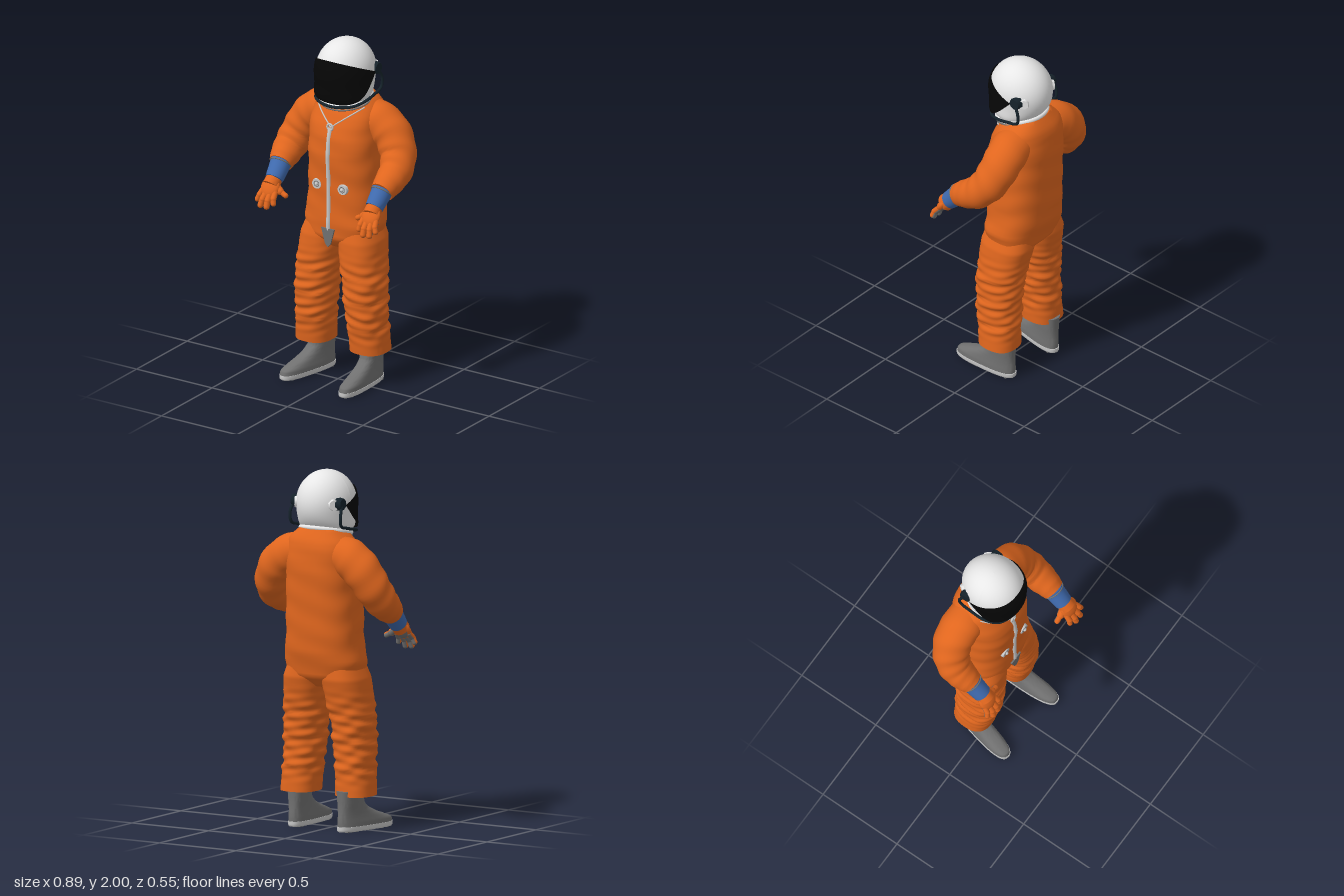
import * as THREE from 'three';
import { toCreasedNormals } from 'three/addons/utils/BufferGeometryUtils.js';

const mat = (name, color, side = THREE.FrontSide) => {
  const m = new THREE.MeshStandardMaterial({ color, side });
  m.name = name;
  return m;
};
const V = (x, y, z) => new THREE.Vector3(x, y, z);
const spow = (v, p) => Math.sign(v) * Math.abs(v) ** p;

// Closed skin from rings f(angle, t), capped at both ends and wound outwards
function skin(nu, nv, f, crease = 0.9) {
  const pos = [], idx = [];
  for (let j = 0; j <= nv; j++)
    for (let i = 0; i < nu; i++) pos.push(...f((i / nu) * Math.PI * 2, j / nv));
  for (let j = 0; j < nv; j++)
    for (let i = 0; i < nu; i++) {
      const a = j * nu + i, b = j * nu + (i + 1) % nu;
      idx.push(a, b, a + nu, b, b + nu, a + nu);
    }
  for (const j of [0, nv]) {
    const c = [0, 0, 0], ci = pos.length / 3;
    for (let i = 0; i < nu; i++) for (let k = 0; k < 3; k++) c[k] += pos[(j * nu + i) * 3 + k] / nu;
    pos.push(...c);
    for (let i = 0; i < nu; i++) {
      const a = j * nu + i, b = j * nu + (i + 1) % nu;
      idx.push(...(j ? [a, b, ci] : [b, a, ci]));
    }
  }
  let vol = 0;
  const p = (i) => V(pos[i * 3], pos[i * 3 + 1], pos[i * 3 + 2]);
  for (let i = 0; i < idx.length; i += 3) vol += p(idx[i]).dot(p(idx[i + 1]).cross(p(idx[i + 2])));
  if (vol < 0) idx.reverse();
  const g = new THREE.BufferGeometry();
  g.setAttribute('position', new THREE.Float32BufferAttribute(pos, 3));
  g.setIndex(idx);
  return toCreasedNormals(g, crease);
}

// Rows are [y, centre x, half width, front z, back z]
function rowAt(rows, y) {
  let i = 0;
  while (i < rows.length - 2 && y > rows[i + 1][0]) i++;
  const t = THREE.MathUtils.clamp((y - rows[i][0]) / (rows[i + 1][0] - rows[i][0]), 0, 1);
  return rows[i].map((v, k) => v + (rows[i + 1][k] - v) * t);
}
function stack(rows, n, rings, fold = () => 0) {
  const y0 = rows[0][0], y1 = rows[rows.length - 1][0];
  return skin(40, rings, (a, t) => {
    const y = y0 + (y1 - y0) * t, [, cx, hw, zf, zb] = rowAt(rows, y), w = fold(y, a);
    return [cx + (hw + w) * spow(Math.cos(a), 2 / n), y,
      (zf + zb) / 2 + ((zf - zb) / 2 + w) * spow(Math.sin(a), 2 / n)];
  });
}
// Round limb along a curve, with a radius for each point
function limb(points, radii, rings, fold = () => 0) {
  const curve = new THREE.CatmullRomCurve3(points);
  return skin(28, rings, (a, t) => {
    const c = curve.getPoint(t), d = curve.getTangent(t), f = t * (radii.length - 1);
    const i = Math.min(Math.floor(f), radii.length - 2);
    const r = THREE.MathUtils.lerp(radii[i], radii[i + 1], f - i) + fold(t, a);
    const b = d.clone().cross(V(0, 0, 1)).normalize(), n = b.clone().cross(d).normalize();
    return c.addScaledVector(b, r * Math.cos(a)).addScaledVector(n, r * Math.sin(a)).toArray();
  });
}
const tube = (pts, r, closed = false, seg = 60) =>
  new THREE.TubeGeometry(new THREE.CatmullRomCurve3(pts, closed), seg, r, 8, closed);

const TORSO = [
  [0.8, 0.003, 0.06, 0.04, -0.15], [0.86, 0.003, 0.215, 0.086, -0.218], [0.94, 0.003, 0.236, 0.09, -0.236],
  [1.0, 0.003, 0.222, 0.086, -0.25], [1.1, 0.003, 0.213, 0.085, -0.258], [1.2, 0.003, 0.212, 0.086, -0.261],
  [1.35, 0.003, 0.207, 0.095, -0.268], [1.45, 0.003, 0.208, 0.085, -0.272], [1.52, 0.003, 0.206, 0.066, -0.27],
  [1.58, 0.003, 0.2, 0.037, -0.263], [1.62, 0.003, 0.188, 0.015, -0.252], [1.65, 0.005, 0.16, 0.005, -0.237],
  [1.685, 0.005, 0.12, -0.005, -0.215]];
const LEG = [
  [0.2, 0.179, 0.106, 0.058, -0.168], [0.3, 0.174, 0.103, 0.07, -0.164], [0.45, 0.163, 0.107, 0.09, -0.162],
  [0.6, 0.156, 0.114, 0.094, -0.17], [0.75, 0.135, 0.12, 0.09, -0.195], [0.85, 0.122, 0.121, 0.085, -0.218],
  [0.95, 0.103, 0.1, 0.06, -0.205]];
const BOOT = [
  [0.028, 0, 0.054, 0.238, -0.155], [0.055, 0, 0.053, 0.234, -0.156], [0.078, 0, 0.05, 0.178, -0.155],
  [0.1, 0, 0.048, 0.115, -0.153], [0.125, 0, 0.047, 0.06, -0.152], [0.155, 0, 0.048, 0.022, -0.152],
  [0.23, 0, 0.051, 0, -0.156]];
const SOLE = [[0.004, 0, 0.05, 0.234, -0.155], [0.012, 0, 0.055, 0.241, -0.16], [0.032, 0, 0.056, 0.241, -0.16]];

function torsoFront(x, y) {
  const [, cx, hw, zf, zb] = rowAt(TORSO, y), k = Math.min(1, Math.abs((x - cx) / hw));
  return (zf + zb) / 2 + ((zf - zb) / 2) * (1 - k ** 2.6) ** (1 / 2.6);
}

export function createModel() {
  const root = new THREE.Group();
  const orange = mat('suit orange', 0xe0661e), blue = mat('cuff blue', 0x3f6aae), white = mat('helmet white', 0xe8e8e8);
  const black = mat('visor black', 0x060606, THREE.DoubleSide), slate = mat('fitting slate', 0x15222a);
  const grey = mat('boot grey', 0x707070), silver = mat('metal silver', 0xc8c8c8);
  const add = (name, geo, material, parent = root) => {
    const m = new THREE.Mesh(geo, material);
    m.name = name;
    parent.add(m);
    return m;
  };

  // Suit body
  add('torso', stack(TORSO, 2.6, 56, (y, a) => 0.002 * Math.sin(y * 40 + 2 * Math.sin(a * 2))), orange);

  for (const s of [1, -1]) {
    const side = s > 0 ? 'left' : 'right', lead = s > 0 ? 0.05 : 0;
    const P = (x, y, z, k = 1) => V(s * x, y, z + lead * k);

    // Trouser leg with bunched folds
    add(side + 'Leg', stack(LEG.map(([y, cx, ...r]) => [y, s * cx, ...r]), 2.5, 80, (y, a) => {
      const env = THREE.MathUtils.smoothstep(y, 0.22, 0.36) * (1 - THREE.MathUtils.smoothstep(y, 0.62, 0.84));
      return 0.0037 * env * (Math.sin(y * 116 + 3 * Math.sin(a + s)) + Math.sin(y * 71 - 2.6 * Math.cos(a * 2 + s))
        + 0.6 * Math.sin(y * 31 + 2 * a));
    }), orange);

    // Sleeve
    add(side + 'Sleeve', limb(
      [P(0.09, 1.55, -0.13, 0), P(0.18, 1.53, -0.133, 0), P(0.265, 1.47, -0.136, 0), P(0.325, 1.375, -0.115, 0.1),
        P(0.353, 1.295, -0.065, 0.4), P(0.355, 1.245, 0, 0.8), P(0.352, 1.215, 0.043)],
      [0.1, 0.113, 0.11, 0.102, 0.093, 0.08, 0.066], 44,
      (t, a) => 0.003 * Math.sin(Math.PI * t) * Math.sin(t * 42 + 2 * Math.sin(a))), orange);

    // Cuff with end ring
    const c0 = P(0.352, 1.222, 0.036), c1 = P(0.348, 1.145, 0.112);
    add(side + 'Cuff', limb([c0, c1], [0.062, 0.051], 4), blue);
    const ring = add(side + 'CuffRing', new THREE.TorusGeometry(0.061, 0.004, 8, 32), grey);
    ring.position.lerpVectors(c0, c1, 0.1);
    ring.quaternion.setFromUnitVectors(V(0, 0, 1), c1.clone().sub(c0).normalize());

    // Gloved hand: orange back, grey grip
    const hand = new THREE.Group();
    hand.name = side + 'Hand';
    hand.position.copy(P(0.35, 1.152, 0.116));
    hand.rotation.x = -0.6;
    hand.scale.setScalar(1.13);
    root.add(hand);
    const fingers = [[-0.036, -0.072, -0.044, -0.135, 0.0145], [-0.012, -0.08, -0.012, -0.157, 0.016],
      [0.014, -0.08, 0.024, -0.156, 0.0155], [0.036, -0.068, 0.051, -0.13, 0.014]];
    for (const [part, m, dz, k] of [['glove', orange, 0, 1], ['grip', grey, -0.004, 0.9]]) {
      const palm = add(part + 'Palm', new THREE.SphereGeometry(1, 20, 14), m, hand);
      palm.scale.set(0.051 * k, 0.056 * k, 0.024 * k);
      palm.position.set(0, -0.048, dz);
      const digit = (name, a, b, r) => {
        const d = b.clone().sub(a);
        const f = add(name, new THREE.CapsuleGeometry(r * k, d.length(), 5, 12), m, hand);
        f.position.lerpVectors(a, b, 0.5);
        f.position.z += dz;
        f.quaternion.setFromUnitVectors(V(0, 1, 0), d.normalize());
      };
      for (const [x0, y0, x1, y1, r] of fingers) {
        const mid = V(s * (x0 + x1) / 2, (y0 + y1) / 2, 0.004);
        digit(part + 'Finger', V(s * x0, y0, 0), mid, r);
        digit(part + 'Fingertip', mid, V(s * x1, y1 + 0.01, -0.004), r * 0.94);
      }
      digit(part + 'ThumbBase', V(-s * 0.018, -0.03, -0.006), V(-s * 0.052, -0.055, -0.016), 0.019);
      digit(part + 'Thumb', V(-s * 0.052, -0.055, -0.016), V(-s * 0.083, -0.068, -0.024), 0.0135);
    }
    add(side + 'Wrist', limb([c1, P(0.35, 1.115, 0.142)], [0.046, 0.048], 3), orange);

    // Boot, sole and tread
    const boot = new THREE.Group();
    boot.name = side + 'Boot';
    boot.position.set(s > 0 ? 0.18 : -0.185, 0, s > 0 ? 0 : -0.028);
    boot.rotation.y = s > 0 ? 0.02 : -0.22;
    root.add(boot);
    add('bootUpper', stack(BOOT, 2.7, 28), grey, boot);
    add('bootSole', stack(SOLE, 2.7, 6), silver, boot);
    for (const z of [-0.12, -0.09, -0.06, 0.04, 0.075, 0.11, 0.145, 0.18])
      add('tread', new THREE.BoxGeometry(0.075, 0.008, 0.012), grey, boot).position.set(0, 0.004, z);

    // Chest valve
    const valve = new THREE.Group();
    valve.name = side + 'Valve';
    valve.position.set(s * 0.085, 1.165, torsoFront(s * 0.085, 1.165));
    root.add(valve);
    add('valveBase', new THREE.CylinderGeometry(0.029, 0.032, 0.016, 24), silver, valve).rotation.x = Math.PI / 2;
    add('valveRing', new THREE.TorusGeometry(0.016, 0.002, 8, 24), grey, valve).position.z = 0.008;
    add('valveKnob', new THREE.SphereGeometry(0.01, 14, 10), silver, valve).position.z = 0.01;

    // Ear pivot and mounting boss
    const ear = add(side + 'EarPivot', new THREE.CylinderGeometry(0.032, 0.039, 0.034, 9), slate);
    ear.position.set(0.008 + s * 0.146, 1.828, -0.148);
    ear.rotation.z = -s * Math.PI / 2;
    const boss = add(side + 'EarBoss', new THREE.CylinderGeometry(0.03, 0.034, 0.014, 7), white);
    boss.position.set(0.008 + s * 0.125, 1.825, -0.184);
    boss.rotation.set(0, s * 0.6, -s * Math.PI / 2);
  }

  // Helmet shell, broad at the jaw and chin
  const HC = V(0.008, 1.82, -0.065);
  const jaw = (dx, dy, dz) => {
    const t = Math.min(0.95, Math.max(0, -dy / 0.182)) ** 3;
    return [HC.x + dx * (1 + t), Math.max(1.642, HC.y + dy), HC.z + dz * (dz > 0 ? 1 + 0.9 * t : 1)];
  };
  const shell = new THREE.SphereGeometry(1, 48, 36), sp = shell.attributes.position;
  for (let i = 0; i < sp.count; i++)
    sp.setXYZ(i, ...jaw(sp.getX(i) * 0.162, sp.getY(i) * 0.18, sp.getZ(i) * 0.182));
  shell.computeVertexNormals();
  add('helmet', shell, white);

  // Visor: wedge of the shell that opens from the ear pivots
  const [a, b, c, off] = [0.167, 0.185, 0.187, -0.055];
  const visor = new THREE.PlaneGeometry(1, 1, 64, 28), vp = visor.attributes.position;
  for (let i = 0; i < vp.count; i++) {
    const w = vp.getX(i) * Math.PI, v = THREE.MathUtils.degToRad(-12 + vp.getY(i) * 71);
    const sn = Math.sin(v), cs = Math.cos(v);
    const A = (sn / b) ** 2 + (cs / c) ** 2, B = 2 * off * cs / c ** 2, C = (off / c) ** 2 - 1;
    const r = (-B + Math.sqrt(B * B - 4 * A * C)) / (2 * A) * Math.cos(w);
    const rest = Math.max(0, -(A * r * r + B * r + C));
    vp.setXYZ(i, ...jaw(Math.sign(w) * a * rest ** (1 / 2.3), r * sn, off + r * cs));
  }
  visor.computeVertexNormals();
  add('visor', visor, black);

  // Hose running from ear to ear under the chin
  const half = [[0.158, 1.815, -0.155], [0.165, 1.765, -0.178], [0.163, 1.71, -0.17], [0.162, 1.688, -0.1],
    [0.156, 1.672, -0.02], [0.115, 1.655, 0.055]];
  const hose = [...half.map(([x, y, z]) => V(0.008 - x, y, z)), V(0.008, 1.645, 0.09),
    ...half.slice().reverse().map(([x, y, z]) => V(0.008 + x, y, z))];
  add('chinHose', tube(hose, 0.0085, false, 100), slate);

  // Neck rings, higher at the back
  const neckRing = (r, drop) => Array.from({ length: 24 }, (_, i) => {
    const t = (i / 24) * Math.PI * 2, z = r * Math.sin(t);
    return V(0.008 + (r + 0.005) * Math.cos(t), 1.665 - drop - 0.2 * z, -0.07 + z);
  });
  add('neckRing', tube(neckRing(0.135, 0), 0.013, true, 72), white);
  add('neckSeal', tube(neckRing(0.142, 0.016), 0.004, true, 72), grey);

  // Neck cord, zip, pull ring and fly patch
  const cord = [];
  for (let i = -6; i <= 6; i++) {
    const x = i * 0.026, y = 1.515 + Math.abs(i) * 0.0195;
    cord.push(V(x, y, torsoFront(x, y) + 0.004));
  }
  add('neckCord', tube(cord, 0.004), silver);
  const zip = Array.from({ length: 16 }, (_, i) => {
    const y = 1.51 - i * 0.04;
    return V(-0.006, y, torsoFront(-0.006, y) - 0.004);
  });
  add('zip', tube(zip, 0.014), silver);
  add('pullRing', new THREE.TorusGeometry(0.018, 0.006, 8, 24), silver).position.set(-0.003, 1.515, torsoFront(0, 1.515) + 0.008);
  const tri = new THREE.Shape([[-0.048, 0.92], [-0.022, 0.83], [-0.004, 0.81], [0.014, 0.83], [0.038, 0.92]]
    .map(([x, y]) => new THREE.Vector2(x, y)));
  add('flyPatch', new THREE.ExtrudeGeometry(tri, { depth: 0.009, bevelEnabled: false }), grey).position.z = 0.088;

  return root;
}
